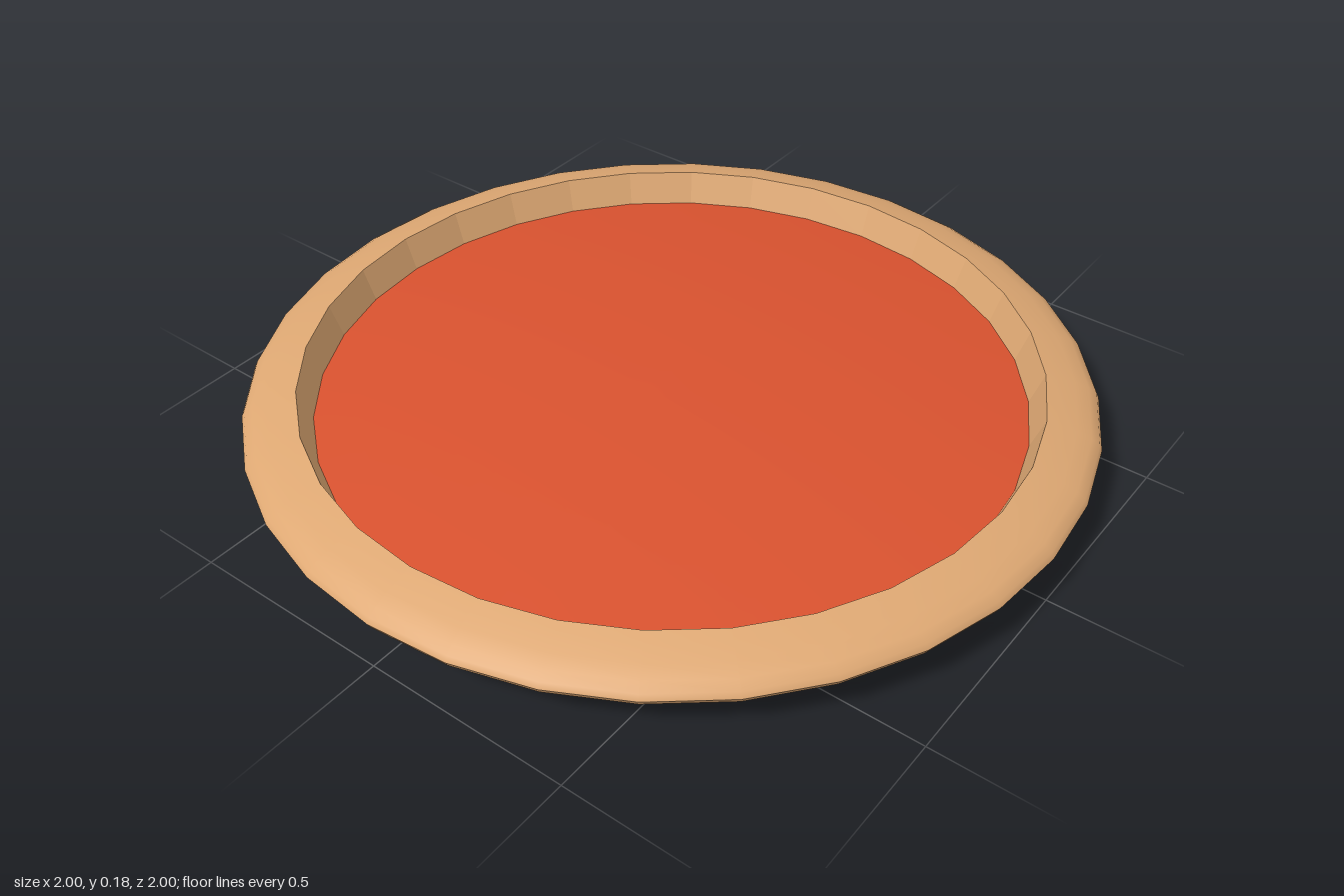
import * as THREE from 'three';

const SEGMENTS = 32;
const HALF_HEIGHT = 0.12;   // shell is a flattened sphere of radius 1
const RIM = [0.87, 0.18];   // upper edge of the recess
const FLOOR = [0.84, 0.1];  // lower edge of the recess

const crust = { color: 0xdea873 };
const filling = { color: 0xd9522f };

function addLathe(group, name, points, params) {
  const geometry = new THREE.LatheGeometry(points.map(([x, y]) => new THREE.Vector2(x, y)), SEGMENTS);
  const mesh = new THREE.Mesh(geometry, new THREE.MeshStandardMaterial(params));
  mesh.name = name;
  group.add(mesh);
}

// Points on the flattened sphere between two angles (0 is the widest ring)
function shellArc(from, to, steps) {
  return Array.from({ length: steps + 1 }, (_, i) => {
    const a = from + ((to - from) * i) / steps;
    return [Math.max(0, Math.cos(a)), HALF_HEIGHT * (1 + Math.sin(a))];
  });
}

export function createModel() {
  const group = new THREE.Group();
  group.name = 'shallowDish';

  // Rounded underside and the rim that curls inward above it
  addLathe(group, 'underside', shellArc(-Math.PI / 2, 0, 12), crust);
  addLathe(group, 'rim', [...shellArc(0, Math.acos(RIM[0]) * 0.9, 4), RIM], crust);

  // Faceted wall of the recess
  addLathe(group, 'innerWall', [RIM, FLOOR], { ...crust, flatShading: true });

  // Gently domed filling
  const dome = Array.from({ length: 9 }, (_, i) => {
    const t = 1 - i / 8;
    return [FLOOR[0] * t, FLOOR[1] + 0.05 * (1 - t * t)];
  });
  addLathe(group, 'filling', dome, filling);

  return group;
}
